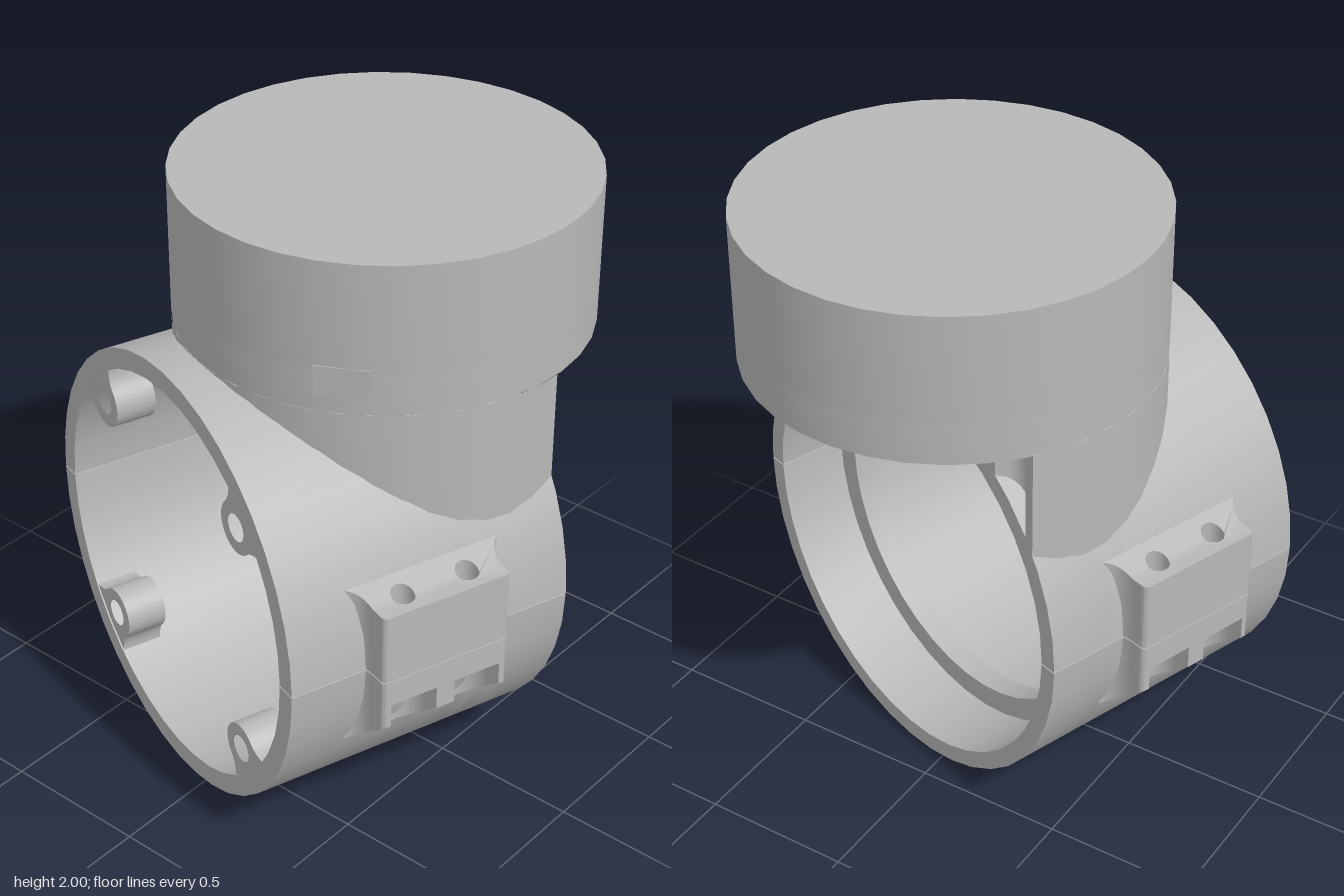
import * as THREE from 'three';
import { toCreasedNormals } from 'three/addons/utils/BufferGeometryUtils.js';

const AXIS_Y = 0.75;   // height of the horizontal tube axis
const HEAD_X = 0.294;  // offset of the vertical head along the tube
const HEAD_R = 0.675;
const TUBE_HALF = 0.505;

export function createModel() {
  const grey = new THREE.MeshStandardMaterial({ color: 0xb8b8b8 });
  grey.name = 'plain grey';

  const model = new THREE.Group();
  model.name = 'pipeClampHousing';
  const body = new THREE.Group();
  body.name = 'body';
  body.position.x = -0.12;
  body.rotation.y = -0.316;
  model.add(body);

  const add = (parent, name, geo) => {
    const mesh = new THREE.Mesh(toCreasedNormals(geo, 0.6), grey);
    mesh.name = name;
    parent.add(mesh);
    return mesh;
  };
  const extrude = (shape, depth, curveSegments = 16) =>
    new THREE.ExtrudeGeometry(shape, { depth, curveSegments, bevelEnabled: false });
  // plan shape (x, z) extruded between two heights
  const slab = (shape, y0, y1, segs) => extrude(shape, y1 - y0, segs).rotateX(Math.PI / 2).translate(0, y1, 0);
  // end-on shape extruded along the tube axis
  const along = (shape, x0, x1, turn = 0) =>
    extrude(shape, x1 - x0, 10).rotateZ(turn).rotateY(Math.PI / 2).translate(x0, AXIS_Y, 0);
  const hole = (x, y, r) => new THREE.Path().absarc(x, y, r, 0, Math.PI * 2, true);
  const moveY = (geo, rule) => {
    const p = geo.attributes.position;
    for (let i = 0; i < p.count; i++) p.setY(i, rule(p.getX(i), p.getY(i), p.getZ(i)));
    return geo;
  };

  // Tube: two halves, each with a plain bore, an inner ridge and a wider mouth
  const sections = [[-TUBE_HALF, 0.18, 0.68], [0.18, 0.26, 0.61], [0.26, TUBE_HALF, 0.69]];
  const gap = 0.003;
  for (const [half, turn] of [['upper', 0], ['lower', Math.PI]]) {
    for (const [x0, x1, r] of sections) {
      const s = new THREE.Shape();
      s.absarc(0, 0, 0.75, gap, Math.PI - gap, false);
      s.absarc(0, 0, r, Math.PI - gap, gap, true);
      add(body, half + 'TubeSection', along(s, x0, x1, turn));
    }
  }

  // Four screw bosses inside the plain end
  for (let i = 0; i < 4; i++) {
    const s = new THREE.Shape();
    s.moveTo(0.69, -0.15);
    s.quadraticCurveTo(0.65, -0.09, 0.6, -0.088);
    s.absarc(0.6, 0, 0.088, -Math.PI / 2, Math.PI / 2, true);
    s.quadraticCurveTo(0.65, 0.09, 0.69, 0.15);
    s.lineTo(0.715, 0);
    s.holes.push(hole(0.6, 0, 0.046));
    add(body, 'screwBoss', along(s, -0.5, -0.36, Math.PI / 4 + i * Math.PI / 2));
  }

  // Head: drum with screw holes and a shaft hole underneath
  const head = new THREE.Group();
  head.name = 'head';
  head.position.x = HEAD_X;
  body.add(head);
  const disc = () => new THREE.Shape().absarc(0, 0, HEAD_R, 0, Math.PI * 2, false);
  const base = disc();
  for (const deg of [-60, -15, 30, 75]) {
    const a = THREE.MathUtils.degToRad(deg);
    base.holes.push(hole(0.56 * Math.cos(a), 0.56 * Math.sin(a), 0.06));
  }
  base.holes.push(hole(0.25, 0.08, 0.13));
  add(head, 'drumBase', slab(base, 1.5, 1.64, 18));
  add(head, 'drumTop', slab(disc(), 1.64, 2, 18));

  // Column under the drum: cut flat at the tube mouth, with two screw channels
  const cut = TUBE_HALF - HEAD_X;
  const a0 = Math.acos(cut / HEAD_R);
  const w0 = HEAD_R * Math.sin(a0);
  const outline = [];
  for (let i = 0; i <= 28; i++) {
    const a = a0 + (2 * Math.PI - 2 * a0) * i / 28;
    outline.push(new THREE.Vector2(HEAD_R * Math.cos(a), HEAD_R * Math.sin(a)));
  }
  for (let i = 1; i < 80; i++) {
    const w = -w0 + 2 * w0 * i / 80;
    const dent = Math.sqrt(Math.max(0, 0.065 ** 2 - (Math.abs(w) - 0.535) ** 2));
    outline.push(new THREE.Vector2(cut - dent, w));
  }
  const solid = slab(new THREE.Shape(outline), 1, 1.5);
  const { start, count } = solid.groups[1]; // side walls only
  const walls = new THREE.BufferGeometry();
  walls.setAttribute('position', new THREE.BufferAttribute(
    solid.attributes.position.array.slice(start * 3, (start + count) * 3), 3));
  moveY(walls, (x, y, z) => (y > 1.25 ? y : AXIS_Y + Math.sqrt(0.72 ** 2 - z * z)));
  add(head, 'column', walls);

  // Small rectangular port on the drum side
  const port = add(head, 'sidePort', new THREE.BoxGeometry(0.17, 0.095, 0.008));
  const pa = Math.atan2(0.319, -0.595) - 0.316; // bearing in the turned frame
  port.position.set(0.671 * Math.cos(pa), 1.607, 0.671 * Math.sin(pa));
  port.rotation.y = Math.PI / 2 - pa;

  // Clamp ears on both sides, each with two bolt holes and pockets below
  const H = 0.228, IN = 0.695, OUT = 0.84, BOLTS = [0.116, -0.116];
  const earPlan = (pockets) => {
    const s = new THREE.Shape();
    s.moveTo(-H - 0.05, IN);
    s.lineTo(H + 0.05, IN);
    s.quadraticCurveTo(H, 0.72, H, 0.79);
    s.lineTo(H, OUT - 0.02);
    s.quadraticCurveTo(H, OUT, H - 0.02, OUT);
    if (pockets) {
      for (const c of BOLTS) {
        s.lineTo(c + 0.083, OUT);
        s.absarc(c, 0.785, 0.083, 0, Math.PI, true);
        s.lineTo(c - 0.083, OUT);
      }
    } else {
      for (const c of BOLTS) s.holes.push(hole(c, 0.767, 0.038));
    }
    s.lineTo(-H + 0.02, OUT);
    s.quadraticCurveTo(-H, OUT, -H, OUT - 0.02);
    s.lineTo(-H, 0.79);
    s.quadraticCurveTo(-H, 0.72, -H - 0.05, IN);
    return s;
  };
  for (const [name, turn] of [['frontEar', 0], ['backEar', Math.PI]]) {
    const ear = new THREE.Group();
    ear.name = name;
    ear.position.x = -0.01;
    ear.rotation.y = turn;
    body.add(ear);
    // upper lug rises slightly towards the tube
    add(ear, 'upperLug', moveY(slab(earPlan(false), AXIS_Y + 0.002, 0.99, 8),
      (x, y, z) => (y > 0.9 ? y + Math.max(0, 0.78 - z) * 0.45 : y)));
    add(ear, 'lowerLug', slab(earPlan(false), 0.66, AXIS_Y - 0.002, 8));
    // pocket walls slope down into the tube
    add(ear, 'boltPockets', moveY(slab(earPlan(true), 0.5, 0.66, 8),
      (x, y, z) => (y > 0.6 ? y : 0.58 - (OUT - z) * 0.8)));
  }

  return model;
}
